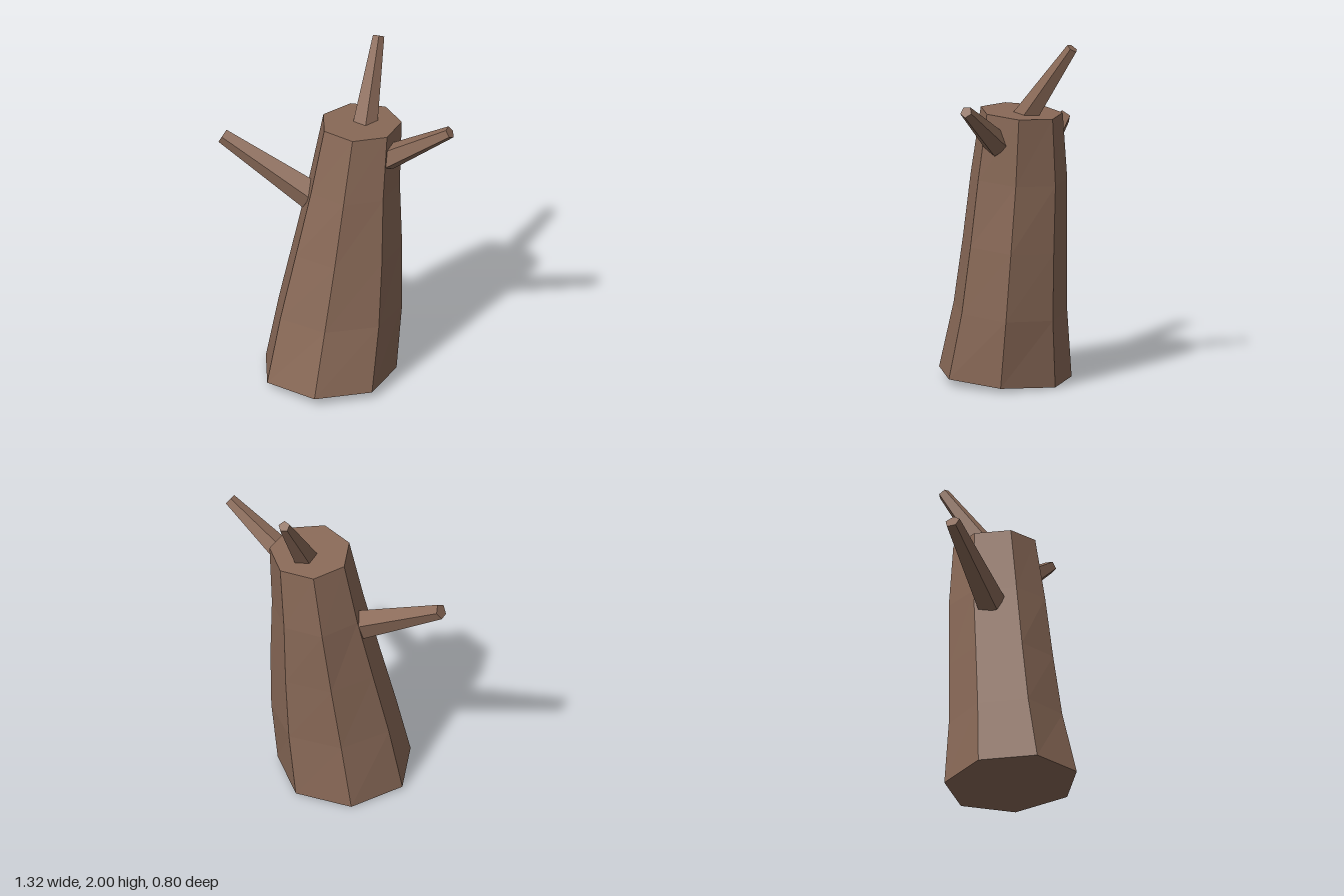
import * as THREE from 'three';

const bark = new THREE.MeshStandardMaterial({ color: 0x8a6a58, flatShading: true });

// Trunk rings from foot to top: height, centre x and z, radius in x and z
const rings = [
  { y: 0.026, x: -0.05, z: 0.025, rx: 0.387, rz: 0.385 },
  { y: 0.417, x: 0.005, z: -0.007, rx: 0.364, rz: 0.330 },
  { y: 0.808, x: 0.052, z: -0.035, rx: 0.318, rz: 0.302 },
  { y: 1.199, x: 0.092, z: -0.062, rx: 0.266, rz: 0.280 },
  { y: 1.59, x: 0.137, z: -0.08, rx: 0.232, rz: 0.238 },
];
const TILT = 0.065; // every ring rises slightly toward the front

// Seven-sided leaning trunk, each ring shifted, scaled and tilted
function createTrunk() {
  const last = rings.length - 1;
  const geometry = new THREE.CylinderGeometry(1, 1, 1, 7, last, false, THREE.MathUtils.degToRad(-13));
  const p = geometry.attributes.position;
  for (let i = 0; i < p.count; i++) {
    const r = rings[Math.round((p.getY(i) + 0.5) * last)];
    const dz = p.getZ(i) * r.rz;
    p.setXYZ(i, r.x + p.getX(i) * r.rx, r.y + dz * TILT, r.z + dz);
  }
  const flat = geometry.toNonIndexed();
  flat.computeVertexNormals();
  const trunk = new THREE.Mesh(flat, bark);
  trunk.name = 'trunk';
  return trunk;
}

// Five-sided tapering branch stub between two points
function createBranch(name, from, to, baseRadius, tipRadius) {
  const start = new THREE.Vector3(...from);
  const end = new THREE.Vector3(...to);
  const axis = end.clone().sub(start);
  const branch = new THREE.Mesh(
    new THREE.CylinderGeometry(tipRadius, baseRadius, axis.length(), 5), bark);
  branch.position.copy(start).add(end).multiplyScalar(0.5);
  branch.quaternion.setFromUnitVectors(new THREE.Vector3(0, 1, 0), axis.normalize());
  branch.name = name;
  return branch;
}

export function createModel() {
  const model = new THREE.Group();
  model.name = 'treeStump';
  model.add(
    createTrunk(),
    createBranch('topBranch', [0.155, 1.53, -0.085], [0.245, 1.982, -0.376], 0.076, 0.034),
    createBranch('leftBranch', [0.28, 1.43, 0.05], [0.635, 1.69, 0.205], 0.076, 0.036),
    createBranch('rightBranch', [-0.14, 1.11, -0.09], [-0.638, 1.395, -0.277], 0.09, 0.045),
  );
  return model;
}
